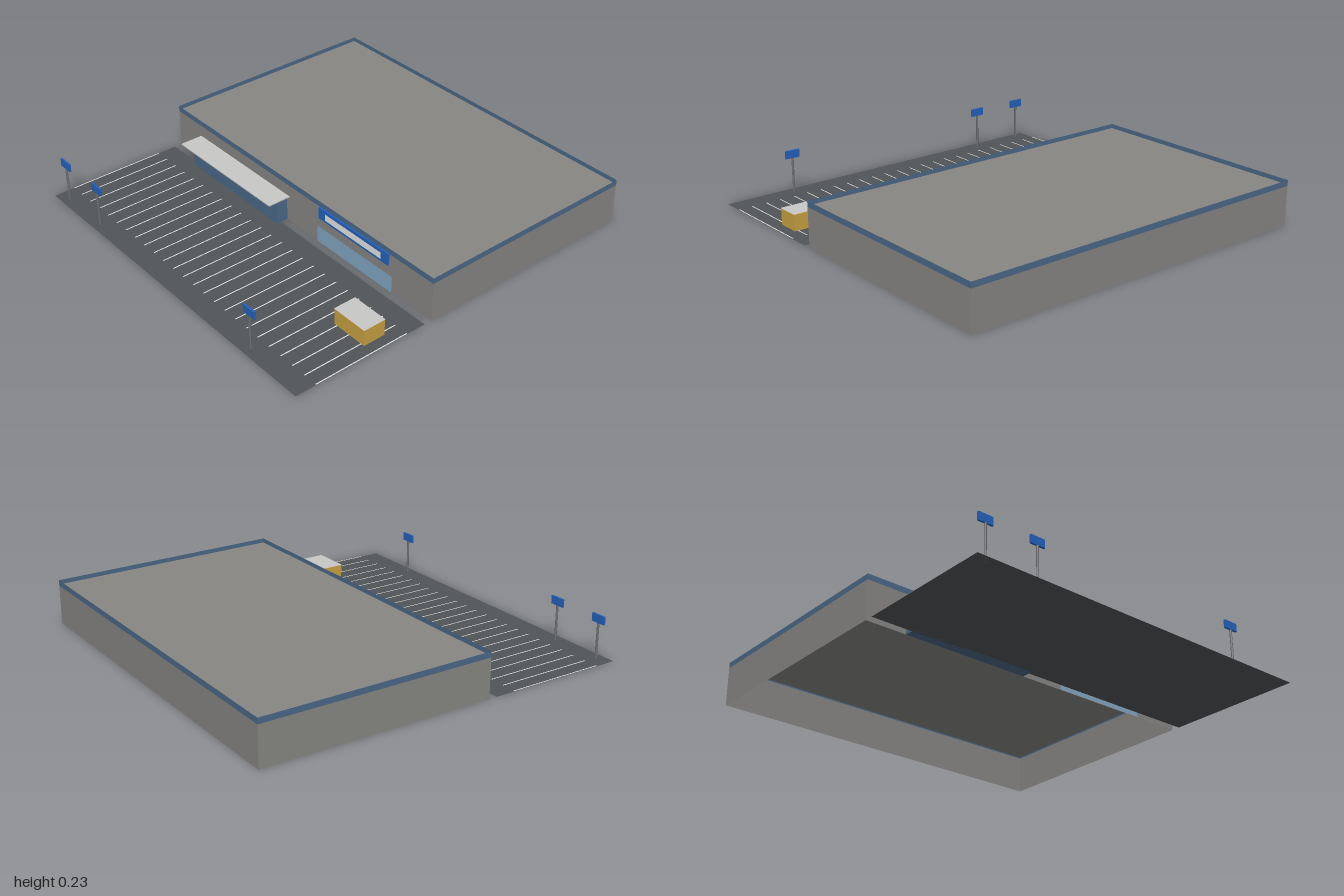
import * as THREE from 'three';

export function createModel() {
  const model = new THREE.Group();
  const paint = (name, color) => {
    const m = new THREE.MeshStandardMaterial({ color, side: THREE.DoubleSide });
    m.name = name;
    return m;
  };
  const wallGrey = paint('wall grey', 0x878683);
  const slateBlue = paint('slate blue', 0x4a6888);
  const asphalt = paint('asphalt', 0x515558);
  const lightGrey = paint('light grey', 0xc8c8c6);
  const white = paint('line white', 0xe4e4e2);
  const signBlue = paint('sign blue', 0x2362bd);
  const glass = paint('glass blue', 0x82a6c4);
  const yellow = paint('kiosk yellow', 0xc9a142);
  const poleGrey = paint('pole grey', 0x6e7072);

  const add = (name, geometry, material, x, y, z, parent = model) => {
    const mesh = new THREE.Mesh(geometry, material);
    mesh.name = name;
    mesh.position.set(x, y, z);
    parent.add(mesh);
    return mesh;
  };
  // Box given by its limits on each axis
  const box = (name, mat, [x0, x1], [y0, y1], [z0, z1], parent) =>
    add(name, new THREE.BoxGeometry(x1 - x0, y1 - y0, z1 - z0), mat,
      (x0 + x1) / 2, (y0 + y1) / 2, (z0 + z1) / 2, parent);
  // Horizontal sheet facing up
  const sheet = (name, mat, [x0, x1], y, [z0, z1], parent) =>
    add(name, new THREE.PlaneGeometry(x1 - x0, z1 - z0).rotateX(-Math.PI / 2), mat,
      (x0 + x1) / 2, y, (z0 + z1) / 2, parent);
  // Upright sheet facing forward
  const panel = (name, mat, [x0, x1], [y0, y1], z, parent) =>
    add(name, new THREE.PlaneGeometry(x1 - x0, y1 - y0), mat,
      (x0 + x1) / 2, (y0 + y1) / 2, z, parent);

  // Open hall: four thin walls, a parapet band above them and a sunken roof
  const W = 0.975, back = -1, front = 0.222;
  const ring = (name, mat, y0, y1) => {
    const group = new THREE.Group();
    group.name = name;
    model.add(group);
    const y = (y0 + y1) / 2, h = y1 - y0, depth = front - back;
    for (const s of [-1, 1]) {
      add('sideWall', new THREE.PlaneGeometry(depth, h).rotateY(s * Math.PI / 2), mat,
        s * W, y, (front + back) / 2, group);
    }
    panel('frontWall', mat, [-W, W], [y0, y1], front, group);
    add('backWall', new THREE.PlaneGeometry(2 * W, h).rotateY(Math.PI), mat, 0, y, back, group);
  };
  ring('walls', wallGrey, 0, 0.205);
  ring('parapet', slateBlue, 0.205, 0.235);
  sheet('roof', wallGrey, [-W, W], 0.212, [back, front]);

  // Entrance block with its canopy
  box('entrance', slateBlue, [-0.755, -0.06], [0, 0.135], [front, 0.287]);
  box('canopy', lightGrey, [-0.78, -0.04], [0.137, 0.143], [0.22, 0.348]);

  // Shop window and the sign above it
  panel('shopWindow', glass, [0.18, 0.71], [0, 0.09], 0.226);
  box('storeSign', signBlue, [0.2, 0.69], [0.147, 0.211], [0.225, 0.235]);
  panel('signPanel', white, [0.25, 0.645], [0.16, 0.196], 0.237);

  // Car park with evenly spaced bay lines
  sheet('carPark', asphalt, [-W, W], 0, [0.265, 1]);
  for (let i = -12; i <= 12; i++) {
    const x = Math.max(-W + 0.003, Math.min(W - 0.003, i * 0.0815));
    sheet('bayLine', white, [x - 0.003, x + 0.003], 0.002, [0.37, 0.89]);
  }

  // Kiosk in the car park
  box('kiosk', yellow, [0.715, 0.915], [0.001, 0.085], [0.45, 0.57]);
  sheet('kioskRoof', lightGrey, [0.713, 0.917], 0.088, [0.448, 0.572]);

  // Signs on poles along the street
  for (const x of [-0.9, -0.615, 0.61]) {
    const post = new THREE.Group();
    post.name = 'streetSign';
    post.position.set(x, 0, 0.957);
    model.add(post);
    add('pole', new THREE.CylinderGeometry(0.006, 0.006, 0.185, 8), poleGrey, 0, 0.0925, 0, post);
    box('board', signBlue, [-0.04, 0.04], [0.184, 0.226], [-0.005, 0.005], post);
  }

  return model;
}
